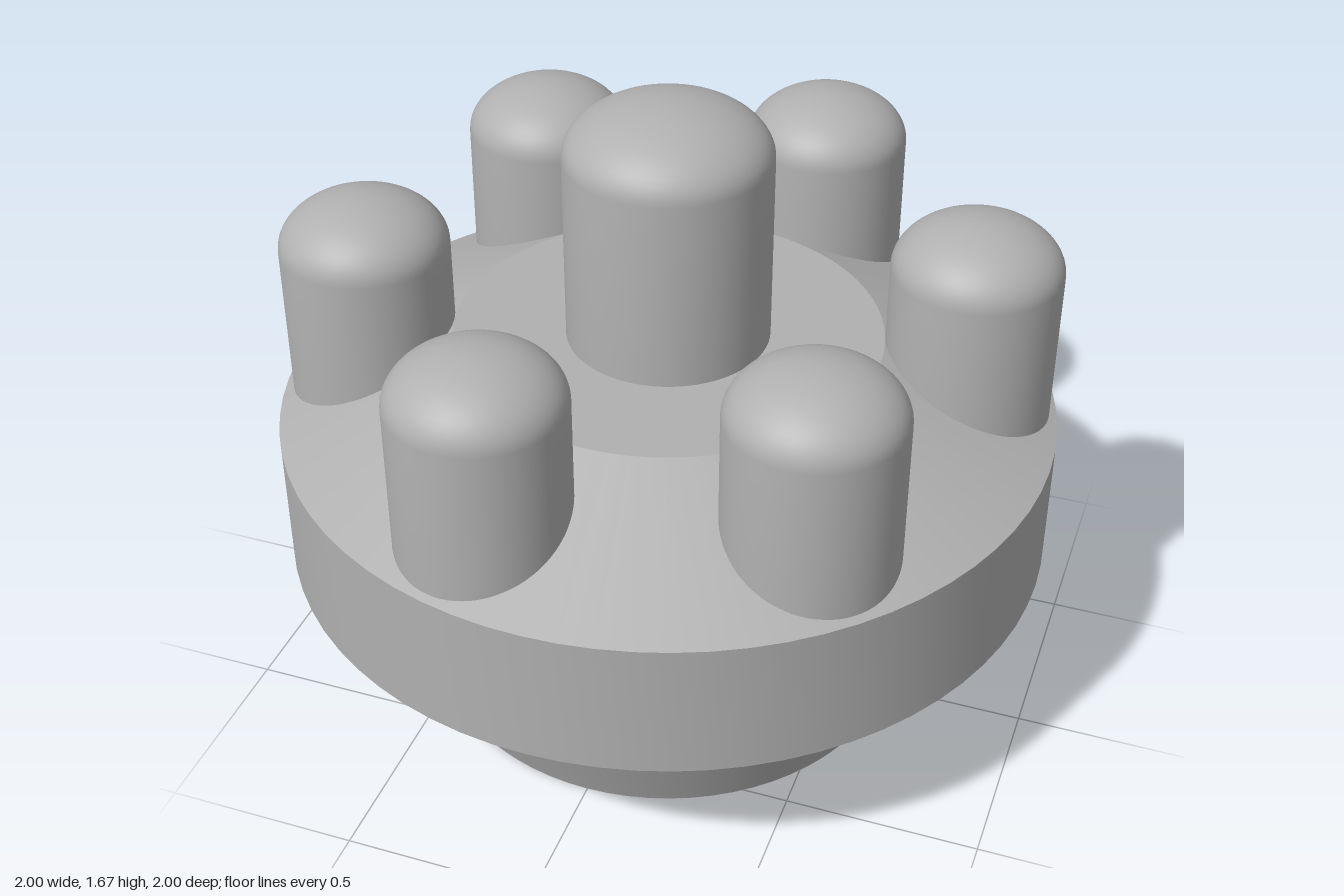
import * as THREE from 'three';
import { toCreasedNormals } from 'three/addons/utils/BufferGeometryUtils.js';

const SEGMENTS = 72;

// Solid of revolution with crisp edges between profile bands
function turned(points, material, name) {
  const profile = points.map(([r, y]) => new THREE.Vector2(r, y));
  const geometry = toCreasedNormals(new THREE.LatheGeometry(profile, SEGMENTS), 0.4);
  const mesh = new THREE.Mesh(geometry, material);
  mesh.name = name;
  return mesh;
}

// Round post with a flattened elliptical dome
function post(radius, bottom, shoulder, top, material, name) {
  const points = [[radius, bottom]];
  const steps = 14;
  for (let i = 0; i <= steps; i++) {
    const t = (i / steps) * Math.PI / 2;
    points.push([i === steps ? 0 : radius * Math.cos(t), shoulder + (top - shoulder) * Math.sin(t)]);
  }
  return turned(points, material, name);
}

export function createModel() {
  const model = new THREE.Group();
  model.name = 'studdedKnob';
  const grey = new THREE.MeshStandardMaterial({ color: 0xb0b0b0 });
  grey.name = 'grey';

  // Tapered foot, wide rim and sloping shoulder
  model.add(turned([
    [0.63, 0], [0.697, 0.185], [0.65, 0.4], [1, 0.465], [1, 0.83], [0.55, 1.035], [0, 1.035],
  ], grey, 'body'));

  // Base plate pierced by a cross-shaped socket
  const socketDepth = 0.2, arm = 0.21, half = 0.053;
  const plate = new THREE.Shape().absarc(0, 0, 0.63, 0, Math.PI * 2, false);
  const corners = [];
  for (let i = 0; i < 4; i++) {
    const turn = i * Math.PI / 2;
    for (const [x, y] of [[arm, -half], [arm, half], [half, half]]) {
      corners.push(new THREE.Vector2(x, y).rotateAround(new THREE.Vector2(), turn));
    }
  }
  plate.holes.push(new THREE.Path(corners));
  const plateGeometry = new THREE.ExtrudeGeometry(plate, {
    depth: socketDepth, bevelEnabled: false, curveSegments: SEGMENTS,
  });
  const basePlate = new THREE.Mesh(plateGeometry.rotateX(-Math.PI / 2), grey);
  basePlate.name = 'basePlate';
  model.add(basePlate);

  // Closed end of the socket, facing down
  const socketEnd = new THREE.Mesh(new THREE.CircleGeometry(0.27, 24).rotateX(Math.PI / 2), grey);
  socketEnd.name = 'socketEnd';
  socketEnd.position.y = socketDepth;
  model.add(socketEnd);

  // Tall centre post
  model.add(post(0.26, 0.95, 1.535, 1.675, grey, 'centrePost'));

  // Ring of six shorter posts
  const ring = new THREE.Group();
  ring.name = 'outerPosts';
  for (let i = 0; i < 6; i++) {
    const angle = Math.PI / 4 + i * Math.PI / 3;
    const stud = post(0.215, 0.79, 1.25, 1.385, grey, 'outerPost' + (i + 1));
    stud.position.set(0.765 * Math.cos(angle), 0, 0.765 * Math.sin(angle));
    ring.add(stud);
  }
  model.add(ring);

  return model;
}
